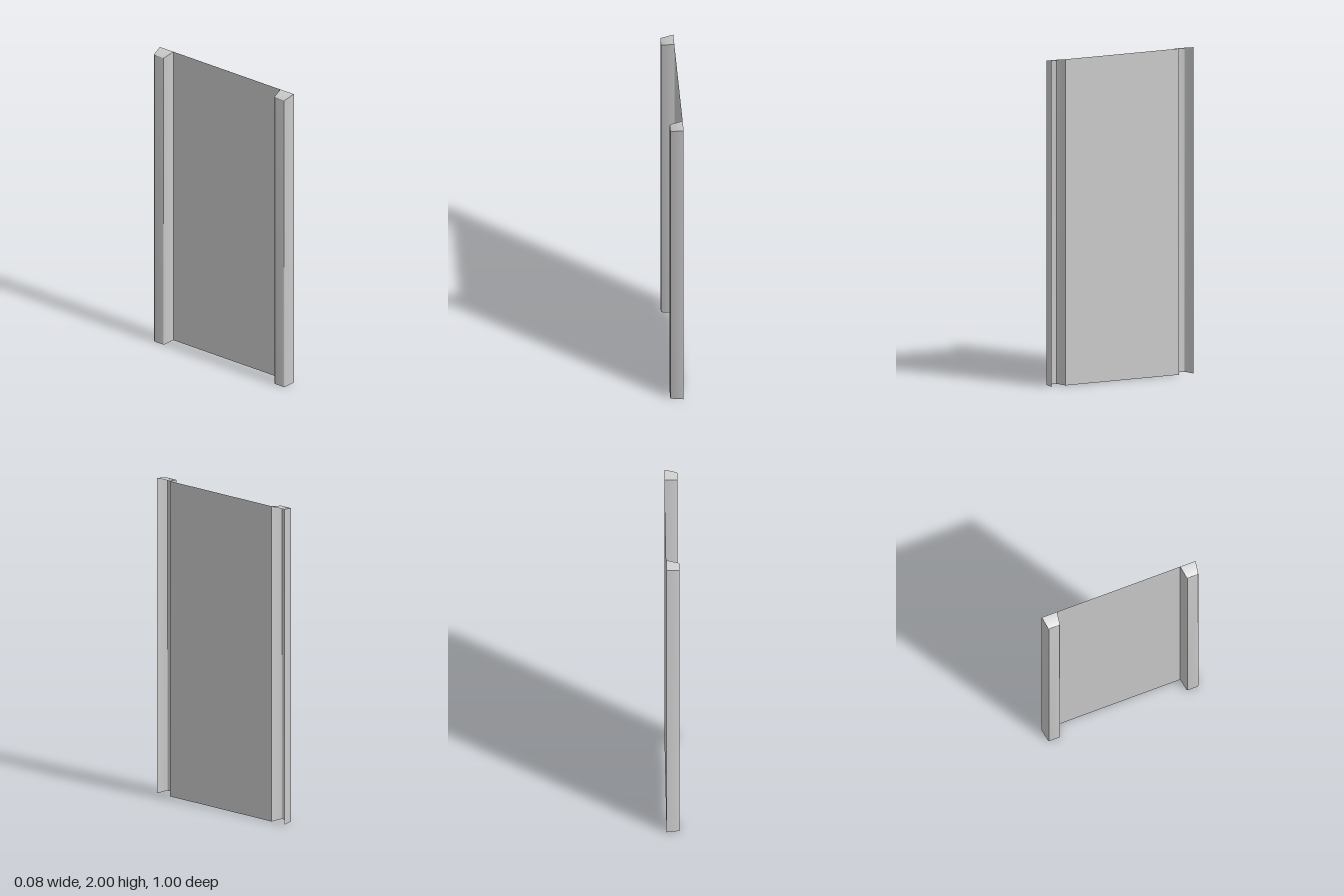
import * as THREE from 'three';
import { toCreasedNormals } from 'three/addons/utils/BufferGeometryUtils.js';

const material = new THREE.MeshStandardMaterial({ color: 0xcccccc, side: THREE.DoubleSide });
const HEIGHT = 2, RIB_WIDTH = 0.1, DEPTH = 0.04, RIB_Z = 0.45;

// Hollow rib, open at the bottom and towards +x; each level is [x, inset of the outline]
function ribGeometry() {
  const levels = [[DEPTH, 0], [-0.031, 0.011], [-0.036, 0.0125], [-0.039, 0.0155], [-DEPTH, 0.02]];
  const positions = [], index = [];
  for (const [x, inset] of levels) {
    const z = RIB_WIDTH / 2 - inset, top = HEIGHT - inset;
    positions.push(x, 0, -z, x, top, -z, x, top, z, x, 0, z);
  }
  // drafted side walls and top cap
  for (let k = 0; k < levels.length - 1; k++) {
    for (let i = 0; i < 3; i++) {
      const a = k * 4 + i, b = a + 4;
      index.push(a, b, a + 1, a + 1, b, b + 1);
    }
  }
  // flat back
  const n = (levels.length - 1) * 4;
  index.push(n, n + 2, n + 1, n, n + 3, n + 2);

  const geometry = new THREE.BufferGeometry();
  geometry.setAttribute('position', new THREE.Float32BufferAttribute(positions, 3));
  geometry.setIndex(index);
  return toCreasedNormals(geometry, 0.7);
}

export function createModel() {
  const group = new THREE.Group();
  group.name = 'ribbedWallPanel';

  // thin sheet between the ribs, flush with their open side
  const sheet = new THREE.Mesh(new THREE.PlaneGeometry(2 * RIB_Z - RIB_WIDTH, HEIGHT), material);
  sheet.name = 'sheet';
  sheet.rotation.y = Math.PI / 2;
  sheet.position.set(DEPTH, HEIGHT / 2, 0);
  group.add(sheet);

  // one rib along each side edge
  const geometry = ribGeometry();
  for (const side of [1, -1]) {
    const rib = new THREE.Mesh(geometry, material);
    rib.name = side > 0 ? 'frontRib' : 'backRib';
    rib.position.z = side * RIB_Z;
    group.add(rib);
  }
  return group;
}
